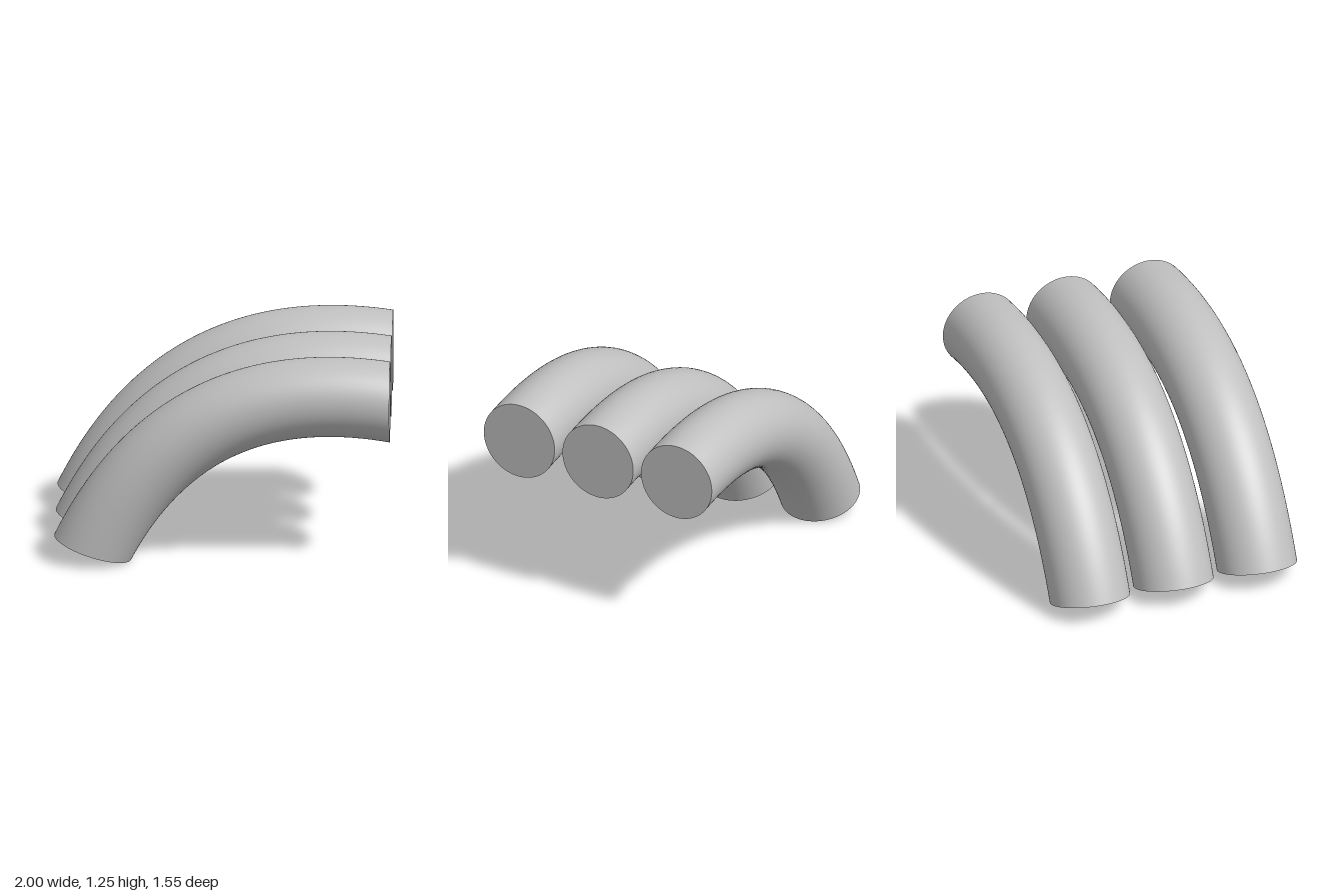
import * as THREE from 'three';
import { toCreasedNormals } from 'three/addons/utils/BufferGeometryUtils.js';

const RADIUS = 0.241;
const SPACING = 0.535;
const TILT = THREE.MathUtils.degToRad(9.1); // round sections lean slightly off the path

// Centre line, from the low end up and over to the upright end
const path = new THREE.QuadraticBezierCurve(
  new THREE.Vector2(-0.77, 0.0725),
  new THREE.Vector2(-0.22, 1.177),
  new THREE.Vector2(1, 0.981)
);

// Straight capped cylinder whose rings are moved onto the path
function bentCylinder() {
  const geometry = new THREE.CylinderGeometry(RADIUS, RADIUS, 1, 64, 48);
  const p = geometry.attributes.position;
  for (let i = 0; i < p.count; i++) {
    const t = THREE.MathUtils.clamp(p.getY(i) + 0.5, 0, 1);
    const centre = path.getPoint(t);
    const angle = path.getTangent(t).angle() + TILT;
    const across = p.getX(i);
    p.setXY(i, centre.x + across * Math.sin(angle), centre.y - across * Math.cos(angle));
  }
  return toCreasedNormals(geometry, Math.PI / 5);
}

export function createModel() {
  const model = new THREE.Group();
  model.name = 'bentTubes';
  const grey = new THREE.MeshStandardMaterial({ color: 0xc0c0c0 });
  grey.name = 'light grey';

  // Three identical tubes side by side
  const geometry = bentCylinder();
  ['backTube', 'middleTube', 'frontTube'].forEach((name, i) => {
    const tube = new THREE.Mesh(geometry, grey);
    tube.name = name;
    tube.position.z = (i - 1) * SPACING;
    model.add(tube);
  });
  return model;
}
